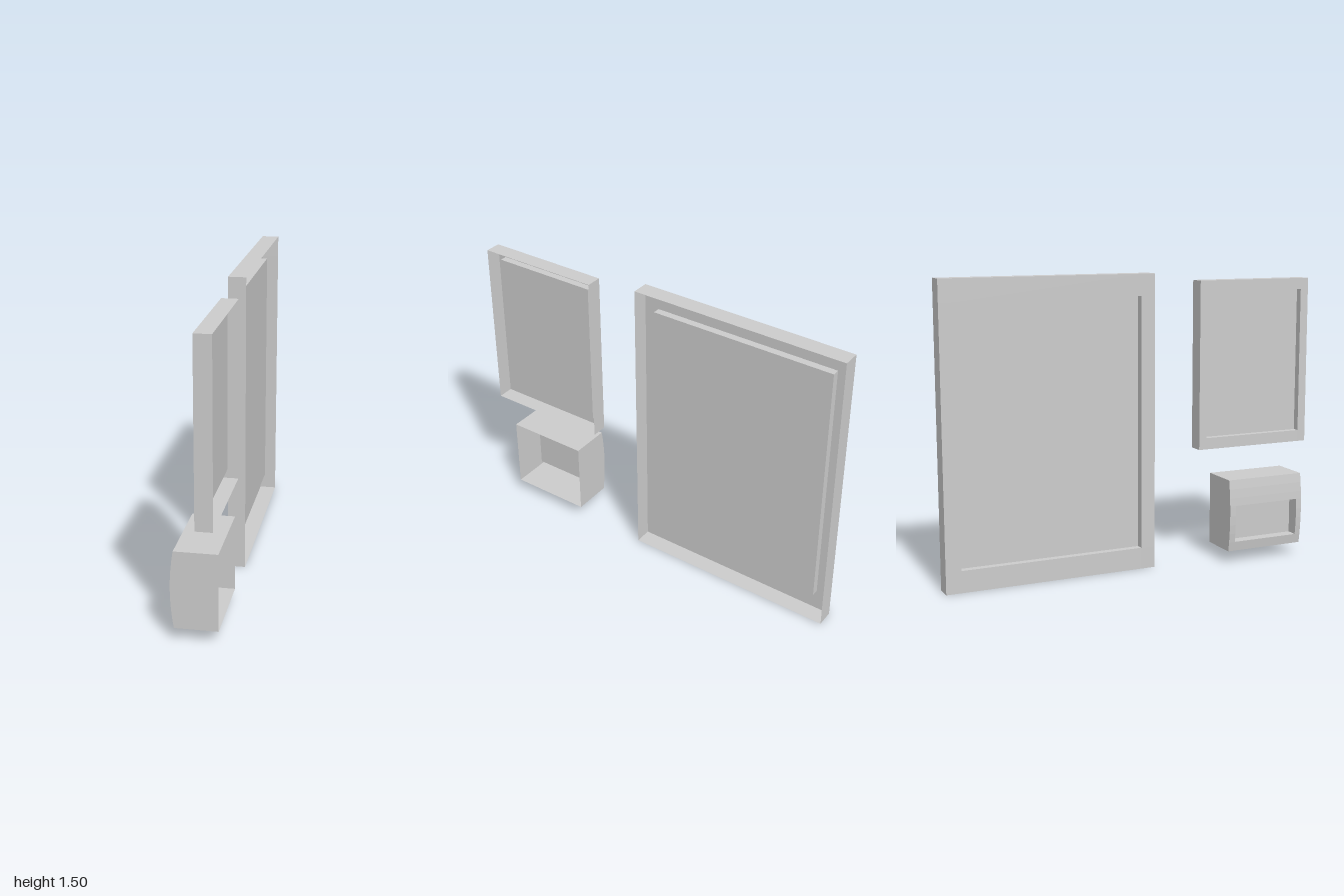
import * as THREE from 'three';

const material = new THREE.MeshStandardMaterial({
  color: 0xcccccc, flatShading: true, side: THREE.DoubleSide,
});

// Thin shell open towards +x, whose -x face carries a rectangular recess.
// y, z: outer ranges; hy, hz: recess ranges; face(y): x of the -x face;
// openX: x of the open rim; floorX: x of the recess floor; rows: extra divisions in y.
function makeShell({ name, y, z, hy, hz, face, openX, floorX, rows = 1 }) {
  const pos = [];
  const quad = (a, b, c, d, flip = false) => {
    const [p, q, r, s] = flip ? [a, d, c, b] : [a, b, c, d];
    pos.push(...p, ...q, ...r, ...p, ...r, ...s);
  };

  // patch facing -x
  const facing = (f, y0, y1, z0, z1) =>
    quad([f(y0), y0, z0], [f(y0), y0, z1], [f(y1), y1, z1], [f(y1), y1, z0]);
  // upright wall at depth zz from the face to x = xe
  const upright = (zz, y0, y1, xe, flip) =>
    quad([face(y0), y0, zz], [xe, y0, zz], [xe, y1, zz], [face(y1), y1, zz], flip);
  // level wall at height yy from the face to x = xe
  const level = (yy, z0, z1, xe, flip) =>
    quad([face(yy), yy, z1], [xe, yy, z1], [xe, yy, z0], [face(yy), yy, z0], flip);

  // heights of the rows, including the recess edges
  const ys = [...hy];
  for (let i = 0; i <= rows; i++) ys.push(y[0] + ((y[1] - y[0]) * i) / rows);
  ys.sort((a, b) => a - b);
  const zs = [z[0], hz[0], hz[1], z[1]];

  for (let i = 0; i < ys.length - 1; i++) {
    const [y0, y1] = [ys[i], ys[i + 1]];
    const mid = (y0 + y1) / 2;
    const inHole = mid > hy[0] && mid < hy[1];
    for (let j = 0; j < 3; j++) {
      if (!(inHole && j === 1)) facing(face, y0, y1, zs[j], zs[j + 1]);
    }
    upright(z[1], y0, y1, openX, false);
    upright(z[0], y0, y1, openX, true);
    if (inHole) {
      upright(hz[0], y0, y1, floorX, false);
      upright(hz[1], y0, y1, floorX, true);
    }
  }
  level(y[1], z[0], z[1], openX, false);
  level(y[0], z[0], z[1], openX, true);
  level(hy[0], hz[0], hz[1], floorX, false);
  level(hy[1], hz[0], hz[1], floorX, true);
  facing(() => floorX, hy[0], hy[1], hz[0], hz[1]);

  const geometry = new THREE.BufferGeometry();
  geometry.setAttribute('position', new THREE.Float32BufferAttribute(pos, 3));
  geometry.computeVertexNormals();
  const mesh = new THREE.Mesh(geometry, material);
  mesh.name = name;
  return mesh;
}

export function createModel() {
  const group = new THREE.Group();
  group.name = 'wallPanels';

  // tall framed panel
  group.add(makeShell({
    name: 'largeFrame',
    y: [0, 1.497], z: [-1, 0.1], hy: [0.11, 1.388], hz: [-0.922, 0.025],
    face: () => 0.007, openX: 0.094, floorX: 0.044,
  }));

  // smaller framed panel
  group.add(makeShell({
    name: 'smallFrame',
    y: [0.586, 1.454], z: [0.362, 1], hy: [0.645, 1.396], hz: [0.405, 0.956],
    face: () => 0.022, openX: 0.103, floorX: 0.058,
  }));

  // deep box with a gently bowed face
  const bow = (y) => -0.113 + 0.016 * ((y - 0.251) / 0.188) ** 2;
  group.add(makeShell({
    name: 'bowedBox',
    y: [0.063, 0.439], z: [0.474, 0.902], hy: [0.112, 0.305], hz: [0.508, 0.872],
    face: bow, openX: 0.107, floorX: -0.045, rows: 8,
  }));

  return group;
}
